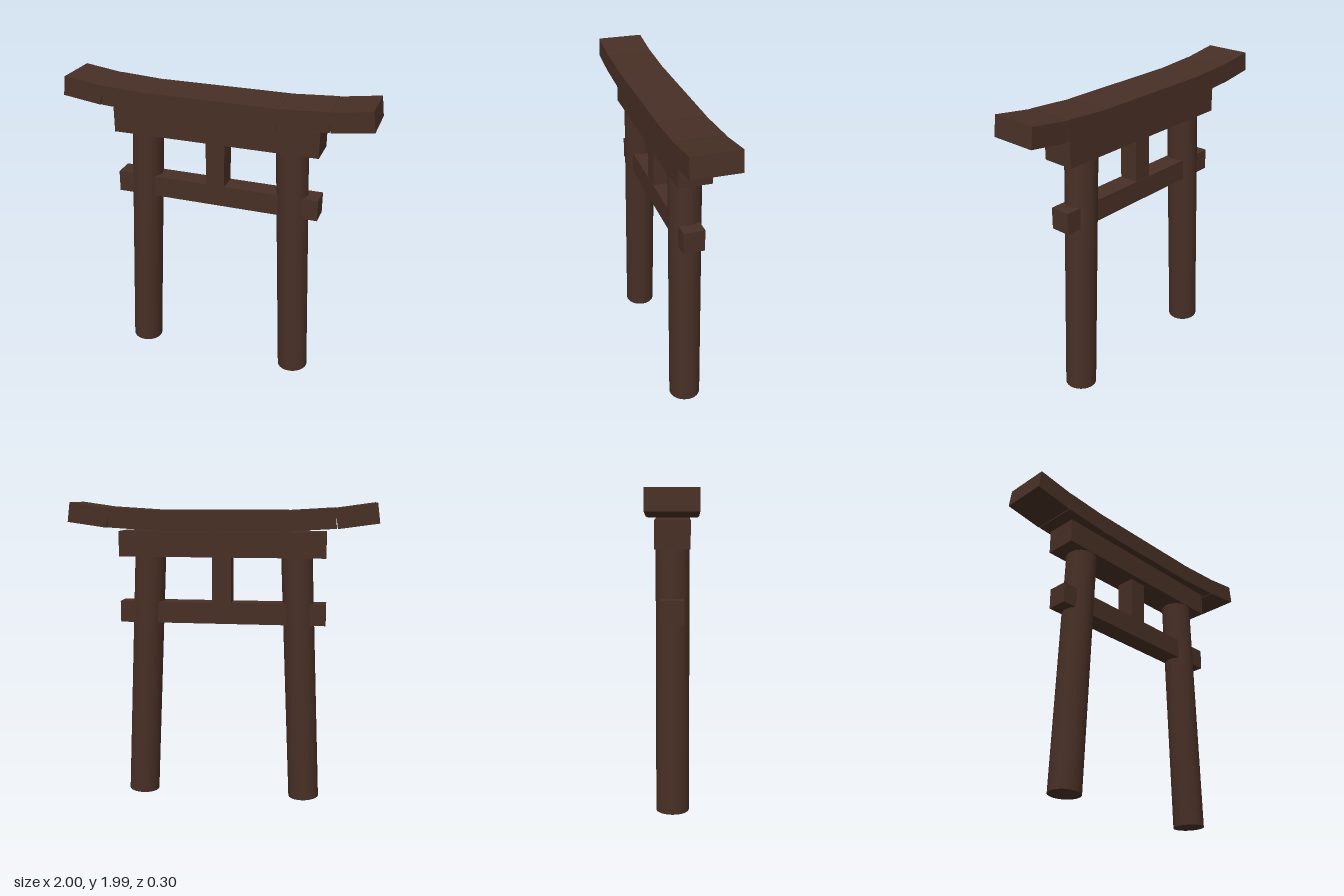
import * as THREE from 'three';

export function createModel() {
  const model = new THREE.Group();
  model.name = 'gate';
  const darkWood = new THREE.MeshStandardMaterial({ color: 0x472f25 });
  darkWood.name = 'darkWood';

  const add = (name, geometry, x, y, tilt = 0) => {
    const mesh = new THREE.Mesh(geometry, darkWood);
    mesh.name = name;
    mesh.position.set(x, y, 0);
    mesh.rotation.z = tilt;
    model.add(mesh);
  };
  const box = (w, h, d) => new THREE.BoxGeometry(w, h, d);

  // Horizontal beams and the short strut between them
  add('upperBeam', box(1.35, 0.165, 0.21), 0, 1.7225);
  add('tieBeam', box(1.364, 0.14, 0.135), 0, 1.27);
  add('centreStrut', box(0.125, 0.3, 0.13), 0, 1.49);

  // Middle of the upswept top beam
  add('topBeamMiddle', box(0.84, 0.13, 0.3), 0, 1.875);

  for (const [side, s] of [['left', 1], ['right', -1]]) {
    // Round pillars leaning inwards, ending inside the upper beam
    const lean = 0.045, length = 1.68;
    add(side + 'Pillar', new THREE.CylinderGeometry(0.102, 0.102, length, 32),
      s * (0.559 - Math.sin(lean) * length / 2), 0.0046 + Math.cos(lean) * length / 2, s * lean);

    // Rising segments of the top beam
    add(side + 'TopBeamInner', box(0.315, 0.127, 0.3), s * 0.575, 1.884, s * 0.06);
    add(side + 'TopBeamTip', box(0.26, 0.127, 0.3), s * 0.863, 1.909, s * 0.138);
  }
  return model;
}
